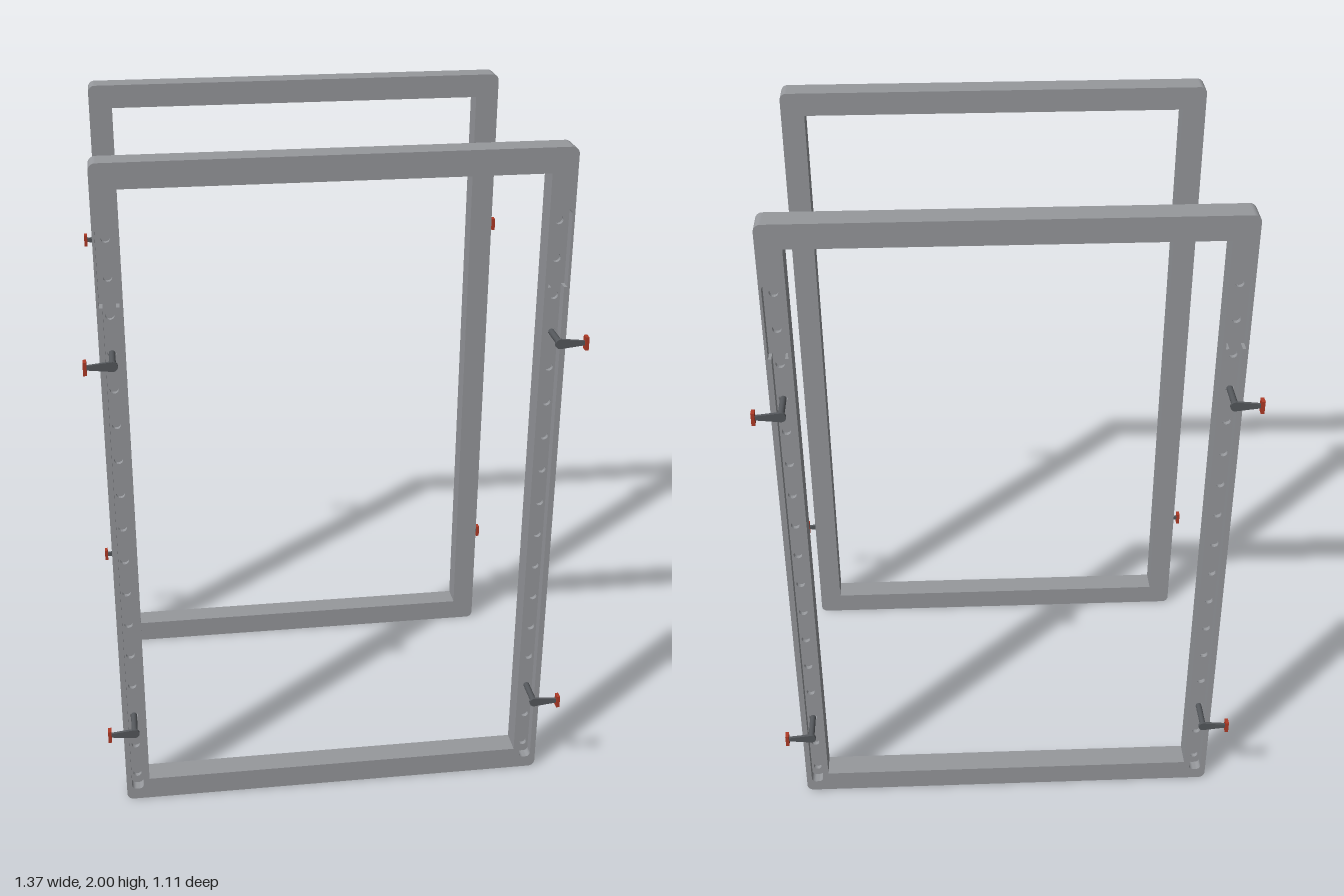
import * as THREE from 'three';

const W = 0.642, H = 2, BAR = 0.07;          // half width, height, bar width
const Z0 = 0.409, Z1 = 0.482;                // inner and outer face of a frame
const SLOT_X = 0.608, FLOOR = 0.45, HOLE_FLOOR = 0.437;

const frameGrey = new THREE.MeshStandardMaterial({ color: 0x96989c });
frameGrey.name = 'frameGrey';
const darkSteel = new THREE.MeshStandardMaterial({ color: 0x55585c });
darkSteel.name = 'darkSteel';
const padRed = new THREE.MeshStandardMaterial({ color: 0xb03a26 });
padRed.name = 'padRed';

// Rounded rectangle traced counter-clockwise
function roundedRect(path, x0, y0, x1, y1, r) {
  path.moveTo(x0 + r, y0);
  path.lineTo(x1 - r, y0);
  path.absarc(x1 - r, y0 + r, r, -Math.PI / 2, 0);
  path.lineTo(x1, y1 - r);
  path.absarc(x1 - r, y1 - r, r, 0, Math.PI / 2);
  path.lineTo(x0 + r, y1);
  path.absarc(x0 + r, y1 - r, r, Math.PI / 2, Math.PI);
  path.lineTo(x0, y0 + r);
  path.absarc(x0 + r, y0 + r, r, Math.PI, Math.PI * 1.5);
  return path;
}

// One slice of the frame between two depths, with extra cut-outs
function frameLayer(name, za, zb, cuts) {
  const shape = roundedRect(new THREE.Shape(), -W, 0, W, H, 0.02);
  const opening = new THREE.Path();
  const ox = W - BAR;
  opening.moveTo(-ox, BAR);
  opening.lineTo(ox, BAR);
  opening.lineTo(ox, H - BAR);
  opening.lineTo(-ox, H - BAR);
  opening.closePath();
  shape.holes.push(opening, ...cuts);
  const geo = new THREE.ExtrudeGeometry(shape, { depth: zb - za, bevelEnabled: false, curveSegments: 8 });
  geo.translate(0, 0, za);
  const mesh = new THREE.Mesh(geo, frameGrey);
  mesh.name = name;
  return mesh;
}

// Keyhole outline: narrow track with a wider entry pocket on top
function trackCut(cx) {
  const p = new THREE.Path(), n = 0.018, w = 0.027, r = 0.014;
  p.moveTo(cx - n + r, 0.037);
  p.lineTo(cx + n - r, 0.037);
  p.absarc(cx + n - r, 0.037 + r, r, -Math.PI / 2, 0);
  p.lineTo(cx + n, 1.61);
  p.lineTo(cx + w, 1.61);
  p.lineTo(cx + w, 1.83 - r);
  p.absarc(cx + w - r, 1.83 - r, r, 0, Math.PI / 2);
  p.lineTo(cx - w + r, 1.83);
  p.absarc(cx - w + r, 1.83 - r, r, Math.PI / 2, Math.PI);
  p.lineTo(cx - w, 1.61);
  p.lineTo(cx - n, 1.61);
  p.lineTo(cx - n, 0.037 + r);
  p.absarc(cx - n + r, 0.037 + r, r, Math.PI, Math.PI * 1.5);
  return p;
}

// Post, tapered arm and red end pad, reaching towards +x
function createHook() {
  const hook = new THREE.Group();
  hook.name = 'hook';
  const add = (name, geo, mat, x, z) => {
    const m = new THREE.Mesh(geo, mat);
    m.name = name;
    m.position.set(x, 0, z);
    hook.add(m);
  };
  const len = 0.543 - FLOOR;
  add('post', new THREE.CylinderGeometry(0.009, 0.009, len, 16).rotateX(Math.PI / 2),
    darkSteel, SLOT_X, FLOOR + len / 2);

  const arm = new THREE.Shape();
  arm.moveTo(0.07, -0.006);
  arm.lineTo(0.07, 0.006);
  arm.lineTo(0.004, 0.0135);
  arm.absarc(0, 0, 0.014, Math.PI * 0.42, Math.PI * 1.58);
  arm.closePath();
  add('arm', new THREE.ExtrudeGeometry(arm, { depth: 0.008, bevelEnabled: false, curveSegments: 16 }),
    darkSteel, SLOT_X, 0.539);
  add('endPad', new THREE.BoxGeometry(0.01, 0.038, 0.022), padRed, 0.681, 0.543);
  return hook;
}

function createFrame(name) {
  const frame = new THREE.Group();
  frame.name = name;
  const holes = [], tracks = [];
  for (const s of [-1, 1]) {
    tracks.push(trackCut(s * SLOT_X));
    for (let i = 0; i < 17; i++) {
      holes.push(new THREE.Path().absarc(s * SLOT_X, 0.073 + i * 0.1074, 0.0125, 0, Math.PI * 2));
    }
    // Two hooks hang in each track
    for (const y of [0.288, 1.468]) {
      const hook = createHook();
      if (s < 0) hook.rotation.z = Math.PI;
      hook.position.y = y;
      frame.add(hook);
    }
  }
  frame.add(
    frameLayer('frameBase', Z0, HOLE_FLOOR, []),
    frameLayer('frameHoleLayer', HOLE_FLOOR, FLOOR, holes),
    frameLayer('frameTrackLayer', FLOOR, Z1, tracks)
  );
  return frame;
}

export function createModel() {
  const model = new THREE.Group();
  model.name = 'framePair';
  const front = createFrame('frontFrame');
  const back = createFrame('backFrame');
  back.rotation.y = Math.PI;
  model.add(front, back);
  return model;
}
